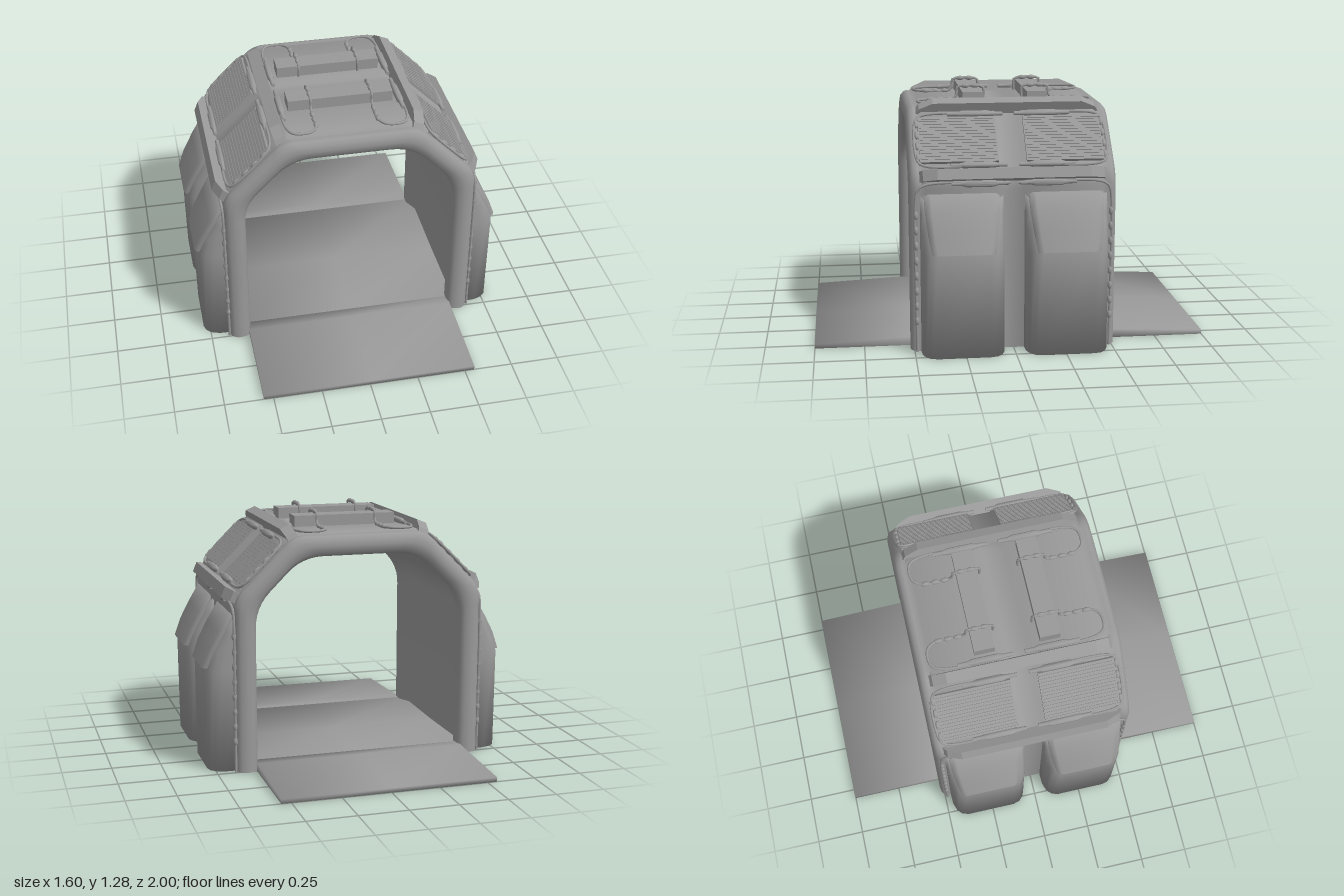
import * as THREE from 'three';
import { toCreasedNormals } from 'three/addons/utils/BufferGeometryUtils.js';

const V = (x, y, z) => new THREE.Vector3(x, y, z);
const grey = new THREE.MeshStandardMaterial({ color: 0x999999, side: THREE.DoubleSide });

function add(parent, name, geo, x = 0, y = 0, z = 0) {
  const m = new THREE.Mesh(geo, grey);
  m.name = name;
  m.position.set(x, y, z);
  parent.add(m);
  return m;
}

// Surface through rows of points
function loft(rows, crease) {
  const n = rows[0].length, pos = [], index = [];
  rows.forEach(r => r.forEach(p => pos.push(p.x, p.y, p.z)));
  for (let i = 0; i < rows.length - 1; i++) {
    for (let j = 0; j < n - 1; j++) {
      const a = i * n + j, b = a + n;
      index.push(a, b, a + 1, b, b + 1, a + 1);
    }
  }
  const g = new THREE.BufferGeometry();
  g.setAttribute('position', new THREE.Float32BufferAttribute(pos, 3));
  g.setIndex(index);
  return toCreasedNormals(g, crease);
}

// Profile in (z, y), extruded across x and centred
function extrudeX(points, width) {
  const shape = new THREE.Shape(points.map(p => new THREE.Vector2(p[0], p[1])));
  const g = new THREE.ExtrudeGeometry(shape, { depth: width, steps: 2, bevelEnabled: false });
  return g.translate(0, 0, -width / 2).rotateY(-Math.PI / 2);
}

// Chamfered arch, pushed outward by off, from +x foot to -x foot
function arch(off) {
  const k = off * Math.tan(Math.PI / 8), c = 0.11 - off * 0.45, d = c * Math.SQRT1_2;
  const ax = 0.54 + off, ay = 0.84 + k, bx = 0.3 + k, by = 1.08 + off;
  const bend = (p, q, r) => new THREE.QuadraticBezierCurve(
    new THREE.Vector2(...p), new THREE.Vector2(...q), new THREE.Vector2(...r)).getPoints(6);
  const half = [new THREE.Vector2(ax, 0),
    ...bend([ax, ay - c], [ax, ay], [ax - d, ay + d]),
    ...bend([bx + d, by - d], [bx, by], [bx - c, by])];
  return [...half, ...half.slice().reverse().map(p => new THREE.Vector2(-p.x, p.y))];
}

// Arch shell with round rims, a gently recessed inner wall and a shallow groove in the middle
function shellGeometry() {
  const front = [[0.102, 0.05], [0.115, 0.07], [0.115, 0.44], [0.103, 0.455], [0.11, 0.475],
    [0.104, 0.497], [0.085, 0.514], [0.055, 0.52], [0.025, 0.514], [0.006, 0.497],
    [0, 0.475], [0.004, 0.43], [0.04, 0.36]];
  const back = front.map(([o, z]) => [o, -z]).reverse();
  const profile = [...front, ...back, front[0]];
  const arches = profile.map(([o]) => arch(o));
  const rows = arches[0].map((_, i) => profile.map(([, z], j) => V(arches[j][i].x, arches[j][i].y, z)));
  const cap = s => profile.map(([, z]) => V(s * 0.62, 0, z));
  return loft([cap(1), ...rows, cap(-1)], 1.1);
}

// Cable along points
function cable(parent, pts) {
  const path = new THREE.CatmullRomCurve3(pts, false, 'centripetal');
  add(parent, 'cable', new THREE.TubeGeometry(path, 48, 0.007, 8));
}

// Thick sleeve with slim ends, lying along z
function sleeve(parent, x, y, z) {
  const prof = [[0, -0.14], [0.01, -0.14], [0.011, -0.09], [0.018, -0.065], [0.018, 0.065],
    [0.011, 0.09], [0.01, 0.14], [0, 0.14]].map(p => new THREE.Vector2(...p));
  const g = new THREE.LatheGeometry(prof, 12).rotateX(Math.PI / 2);
  add(parent, 'cableSleeve', toCreasedNormals(g, 0.6), x, y, z);
}

// Row of long beads between two points
function beads(parent, a, b, n) {
  const dir = b.clone().sub(a).normalize();
  for (let i = 0; i < n; i++) {
    const p = a.clone().lerp(b, i / (n - 1));
    const m = add(parent, 'cableBead', new THREE.SphereGeometry(0.012, 10, 8), p.x, p.y, p.z);
    m.scale.y = 1.9;
    m.quaternion.setFromUnitVectors(V(0, 1, 0), dir);
  }
}

// Side pouch with a sloped flap
function pouch(parent, z) {
  const g = new THREE.Group();
  g.name = 'sidePouch';
  g.position.z = z;
  parent.add(g);
  const plan = [[0, -0.207], [0.45, -0.205], [0.75, -0.19], [0.93, -0.165], [1, -0.13],
    [1, 0.13], [0.93, 0.165], [0.75, 0.19], [0.45, 0.205], [0, 0.207]];
  const rows = [[0, 0], [0, 0.143], [0.52, 0.148], [0.62, 0.115], [0.71, 0.068], [0.79, 0.015], [0.79, 0]];
  add(g, 'pouchBody', loft(rows.map(([y, d]) => plan.map(([u, w]) => V(0.64 + u * d, y, w))), 1.7));
  // flap rows: height, x, half width
  const flap = [[0.53, 0.78, 0.16], [0.53, 0.802, 0.16], [0.62, 0.767, 0.176], [0.71, 0.718, 0.187],
    [0.805, 0.66, 0.193], [0.805, 0.64, 0.193]];
  add(g, 'pouchFlap', loft(flap.map(([y, x, w]) => [[-0.05, -1], [-0.012, -0.97], [0, -0.8], [0, 0.8],
    [-0.012, 0.97], [-0.05, 1]].map(([dx, k]) => V(x + dx, y, w * k))), 1.4));
}

// Finely ribbed panel with its looped cable on the slanted shoulder (local y is outward)
function shoulderPanel(parent, s) {
  const g = new THREE.Group();
  g.name = 'shoulderPanel';
  g.position.set(0.499, 1.039, 0);
  g.rotation.z = -Math.PI / 4;
  parent.add(g);
  const z = s * 0.265;
  add(g, 'panelBase', new THREE.BoxGeometry(0.27, 0.03, 0.39), 0, 0.002, z);
  for (const e of [-1, 1]) {
    add(g, 'panelRail', new THREE.BoxGeometry(0.012, 0.034, 0.39), e * 0.13, 0.003, z);
    sleeve(g, e * 0.155, 0.014, s * 0.17);
  }
  for (let i = 0; i < 13; i++) {
    add(g, 'panelRib', new THREE.BoxGeometry(0.01, 0.006, 0.38), -0.114 + i * 0.019, 0.017, z);
  }
  cable(g, [V(-0.155, 0.012, s * 0.03), V(-0.155, 0.012, s * 0.43), V(-0.13, 0.01, s * 0.468),
    V(0.13, 0.01, s * 0.468), V(0.155, 0.012, s * 0.43), V(0.155, 0.012, s * 0.03)]);
  beads(g, V(-0.1, 0.01, s * 0.468), V(0.1, 0.01, s * 0.468), 4);
}

// Everything on the +x side
function sideGroup() {
  const side = new THREE.Group();
  // bowed edge strips along the two bends
  const bow = [[-0.47, -0.02], [-0.45, 0.012], [-0.38, 0.044], [0.38, 0.044], [0.45, 0.012], [0.47, -0.02]];
  for (const [x, y, a] of [[0.347, 1.182, -Math.PI / 8], [0.642, 0.893, -Math.PI * 3 / 8]]) {
    add(side, 'edgeStrip', extrudeX(bow, 0.055), x, y, 0).rotation.z = a;
  }
  for (const s of [1, -1]) {
    pouch(side, s * 0.26);
    shoulderPanel(side, s);
    // cable running under the lower strip and down the corner
    cable(side, [V(0.658, 0.855, s * 0.02), V(0.658, 0.855, s * 0.43), V(0.655, 0.83, s * 0.475),
      V(0.654, 0.78, s * 0.487), V(0.654, 0, s * 0.487)]);
    sleeve(side, 0.658, 0.855, s * 0.17);
    beads(side, V(0.654, 0.16, s * 0.487), V(0.654, 0.7, s * 0.487), 8);
    // roof cable looping round and over the roof roll
    cable(side, [V(0.305, 1.203, s * 0.03), V(0.305, 1.203, s * 0.39), V(0.275, 1.203, s * 0.44),
      V(0.19, 1.203, s * 0.44), V(0.157, 1.203, s * 0.39), V(0.157, 1.203, s * 0.26),
      V(0.157, 1.225, s * 0.24), V(0.157, 1.262, s * 0.238), V(0.157, 1.27, s * 0.215),
      V(0.157, 1.27, s * 0.125), V(0.157, 1.262, s * 0.102), V(0.157, 1.2, s * 0.1)]);
    sleeve(side, 0.305, 1.204, s * 0.17);
    beads(side, V(0.157, 1.203, s * 0.28), V(0.157, 1.203, s * 0.38), 3);
    beads(side, V(0.157, 1.27, s * 0.145), V(0.157, 1.27, s * 0.195), 2);
  }
  return side;
}

export function createModel() {
  const model = new THREE.Group();
  model.name = 'archShelter';
  add(model, 'archShell', shellGeometry());

  // floor and ramps are softly shaded right round their edges
  const floor = [[-0.46, 0], [0.46, 0], [0.46, 0.042], [0, 0.036], [-0.46, 0.042]];
  add(model, 'floor', toCreasedNormals(extrudeX(floor, 1.18), Math.PI));
  for (const s of [1, -1]) {
    const ramp = extrudeX([[0.46, 0], [1, 0], [1, 0.022], [0.52, 0.045], [0.46, 0.046]], 1.1);
    add(model, s > 0 ? 'frontRamp' : 'backRamp', toCreasedNormals(ramp, Math.PI)).rotation.y = s > 0 ? 0 : Math.PI;
    add(model, 'roofRoll', new THREE.BoxGeometry(0.54, 0.06, 0.105), 0, 1.222, s * 0.167);
  }

  const left = sideGroup();
  left.name = 'leftSide';
  const right = sideGroup();
  right.name = 'rightSide';
  right.rotation.y = Math.PI;
  model.add(left, right);
  return model;
}
